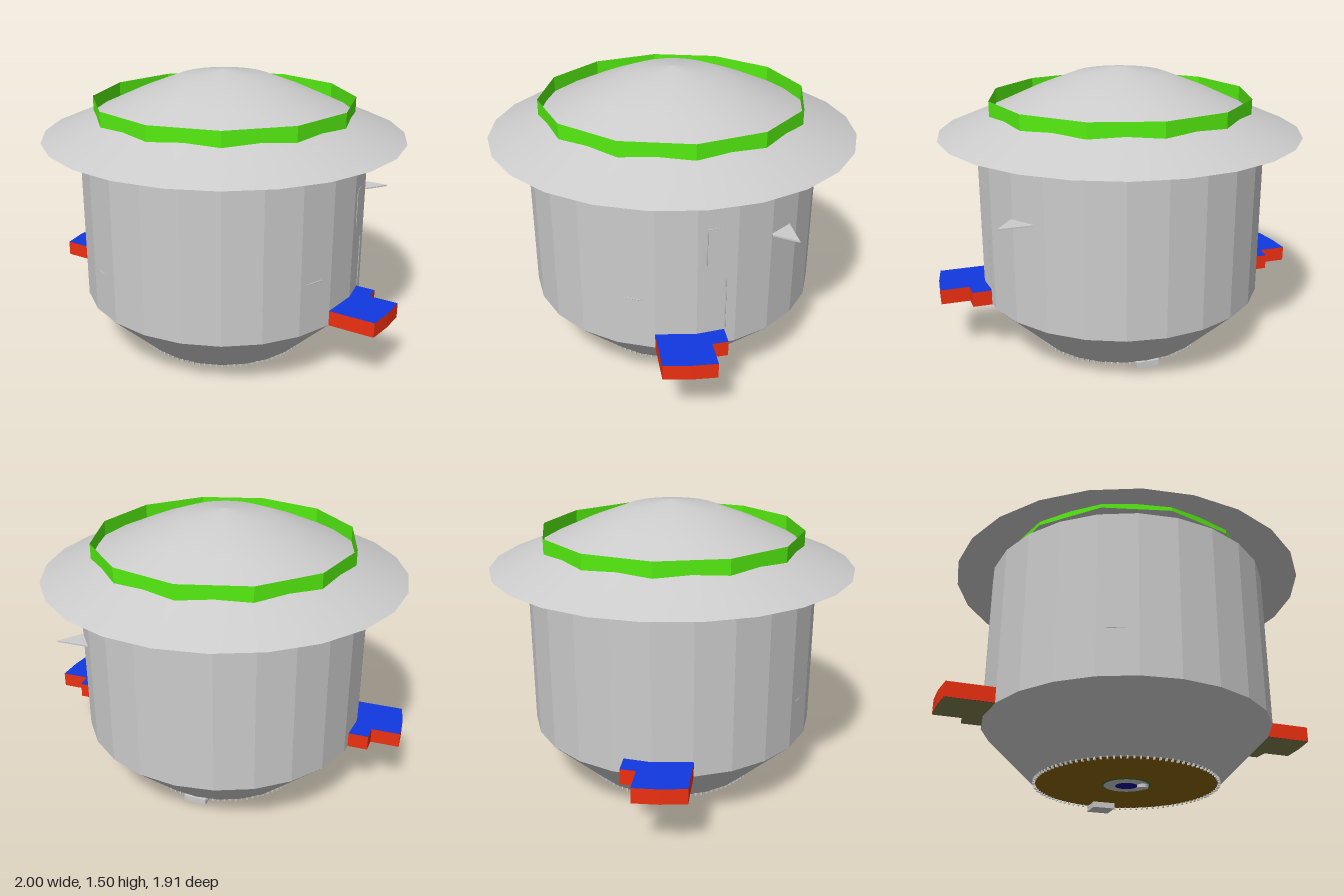
import * as THREE from 'three';

const mat = (color = 0xcccccc, opts = {}) => new THREE.MeshStandardMaterial({ color, ...opts });
const grey = mat();
const facetGrey = mat(0xcccccc, { flatShading: true, side: THREE.DoubleSide });
const smoothGrey = mat(0xcccccc, { side: THREE.DoubleSide });
const green = mat(0x55ee11, { flatShading: true, side: THREE.DoubleSide });
const red = mat(0xee3010);
const blue = mat(0x1038e0);
const olive = mat(0x808050);
const brown = mat(0x8a6500);
const navy = mat(0x0a0a90);

function add(parent, name, geometry, material, x = 0, y = 0, z = 0) {
  const mesh = new THREE.Mesh(geometry, material);
  mesh.name = name;
  mesh.position.set(x, y, z);
  parent.add(mesh);
  return mesh;
}

// Flat shape lying in the xz plane
function outline(points, side = 1) {
  return new THREE.Shape(points.map(([x, z]) => new THREE.Vector2(x * side, z)));
}

// Stepped side grip: red edge, blue top, olive underside
function makeHandle(side) {
  const handle = new THREE.Group();
  handle.name = side > 0 ? 'leftHandle' : 'rightHandle';
  const shape = outline([
    [0.735, 0.2], [0.975, 0.2], [0.995, 0.07], [1, -0.06],
    [0.85, -0.06], [0.845, -0.14], [0.735, -0.14],
  ], side);
  const slab = new THREE.ExtrudeGeometry(shape, { depth: 0.08, bevelEnabled: false });
  add(handle, 'handleBlock', slab.rotateX(Math.PI / 2), [blue, red], 0, 0.39, 0);
  const under = new THREE.ShapeGeometry(shape).rotateX(Math.PI / 2);
  add(handle, 'handleUnderside', under, olive, 0, 0.309, 0);
  return handle;
}

// Fine raised seam running through [angle from front, height] points on the wall
function makeSeam(points) {
  const seam = new THREE.Group();
  seam.name = 'wallSeam';
  const at = ([a, y]) => new THREE.Vector3(Math.sin(a) * 0.756, y, Math.cos(a) * 0.756);
  for (let i = 1; i < points.length; i++) {
    const path = new THREE.LineCurve3(at(points[i - 1]), at(points[i]));
    add(seam, 'seamStroke', new THREE.TubeGeometry(path, 1, 0.003, 4), grey);
  }
  return seam;
}

export function createModel() {
  const model = new THREE.Group();
  model.name = 'lidded pot';

  // Faceted wall and tapered lower body
  add(model, 'wall', new THREE.CylinderGeometry(0.76, 0.76, 0.86, 24, 1, true), facetGrey, 0, 0.74, 0);
  add(model, 'taper', new THREE.CylinderGeometry(0.76, 0.475, 0.28, 24, 1, true), facetGrey, 0, 0.17, 0);

  // Domed lid with a wide brim
  const profile = [[0.955, 1.17], [0.68, 1.285], [0.45, 1.39], [0.24, 1.47], [0, 1.505]]
    .map(([x, y]) => new THREE.Vector2(x, y));
  add(model, 'lid', new THREE.LatheGeometry(profile, 24), smoothGrey);

  // Thin upright band around the lid
  add(model, 'lidBand', new THREE.CylinderGeometry(0.69, 0.69, 0.1, 12, 1, true), green, 0, 1.31, 0);

  // Base plate with concentric discs
  const discs = [
    ['basePlate', 0.475, brown, 0.03],
    ['greenDisc', 0.125, mat(0x1f7a3a), 0.028],
    ['greyDisc', 0.117, grey, 0.026],
    ['blueDisc', 0.058, navy, 0.024],
  ];
  for (const [name, r, material, y] of discs) {
    add(model, name, new THREE.CircleGeometry(r, 48).rotateX(Math.PI / 2), material, 0, y, 0);
  }
  add(model, 'baseStud', new THREE.CylinderGeometry(0.03, 0.03, 0.02, 8), grey, 0.075, 0.02, 0.035);

  // Row of small teeth around the base
  const tooth = new THREE.BoxGeometry(0.008, 0.014, 0.014);
  for (let i = 0; i < 96; i++) {
    const a = (i / 96) * Math.PI * 2;
    const t = add(model, 'baseTooth', tooth, grey, Math.sin(a) * 0.472, 0.027, Math.cos(a) * 0.472);
    t.rotation.y = a;
  }

  // Rear foot
  add(model, 'rearFoot', new THREE.BoxGeometry(0.12, 0.035, 0.12), grey, 0, 0.0175, -0.43);

  // Side handles
  for (const side of [1, -1]) model.add(makeHandle(side));

  // Small thin tab on the back left of the wall
  const tab = new THREE.ExtrudeGeometry(
    outline([[0.62, -0.38], [0.67, -0.38], [0.75, -0.49], [0.56, -0.49]]),
    { depth: 0.008, bevelEnabled: false },
  ).rotateX(Math.PI / 2);
  add(model, 'wallTab', tab, grey, 0, 0.859, 0);

  // Fine seams on the wall
  const q = Math.PI / 2;
  const seams = [
    [[q - 0.5, 0.58], [q - 0.36, 0.58], [q, 0.76], [q, 1.03]],
    [[q + 0.06, 0.77], [q + 0.06, 0.96], [q + 0.26, 0.96]],
    [[q + 0.19, 0.31], [q + 0.19, 0.68]],
    [[-0.46, 0.55], [-0.26, 0.55], [0, 0.55]],
    [[0.26, 0.55], [0.52, 0.55]],
  ];
  for (const points of seams) model.add(makeSeam(points));

  return model;
}
